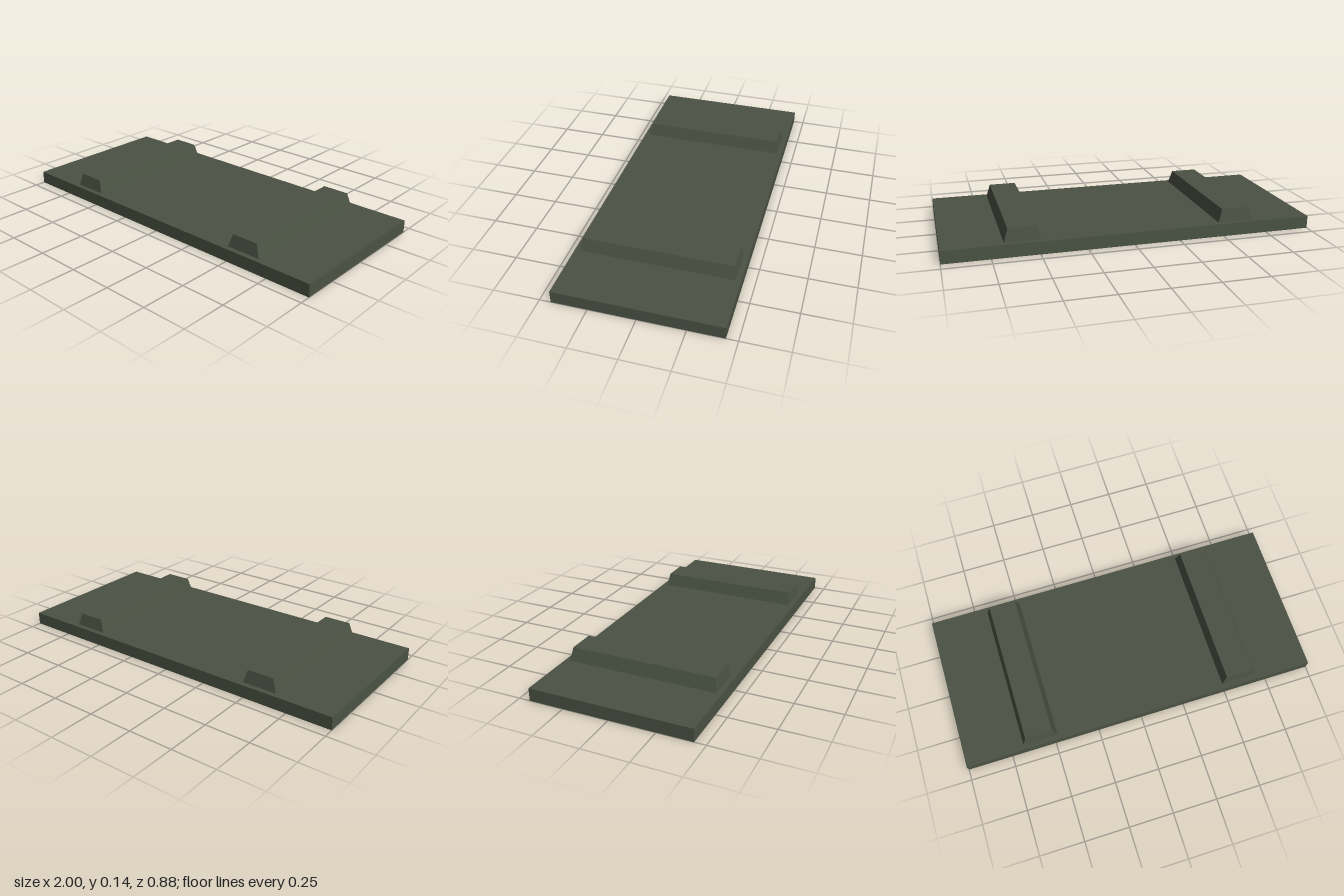
import * as THREE from 'three';

const BOARD_H = 0.07;

// Box whose top face is inset to slope the four sides
function taperedBox(width, height, depth, topWidth, topDepth) {
  const geo = new THREE.BoxGeometry(width, height, depth);
  const pos = geo.attributes.position;
  for (let i = 0; i < pos.count; i++) {
    if (pos.getY(i) > 0) {
      pos.setX(i, Math.sign(pos.getX(i)) * topWidth / 2);
      pos.setZ(i, Math.sign(pos.getZ(i)) * topDepth / 2);
    }
  }
  geo.computeVertexNormals();
  return geo;
}

export function createModel() {
  const group = new THREE.Group();
  group.name = 'battenedBoard';
  const darkOlive = new THREE.MeshStandardMaterial({ color: 0x4b5344 });
  darkOlive.name = 'darkOlive';

  // Flat board
  const board = new THREE.Mesh(new THREE.BoxGeometry(2, BOARD_H, 0.88), darkOlive);
  board.name = 'board';
  board.position.y = BOARD_H / 2;
  group.add(board);

  // Two raised battens running across the board
  const battenGeo = taperedBox(0.194, 0.071, 0.824, 0.15, 0.8);
  for (const [name, x] of [['rightBatten', -0.577], ['leftBatten', 0.585]]) {
    const batten = new THREE.Mesh(battenGeo, darkOlive);
    batten.name = name;
    batten.position.set(x, BOARD_H + 0.0355, 0);
    group.add(batten);
  }
  return group;
}
